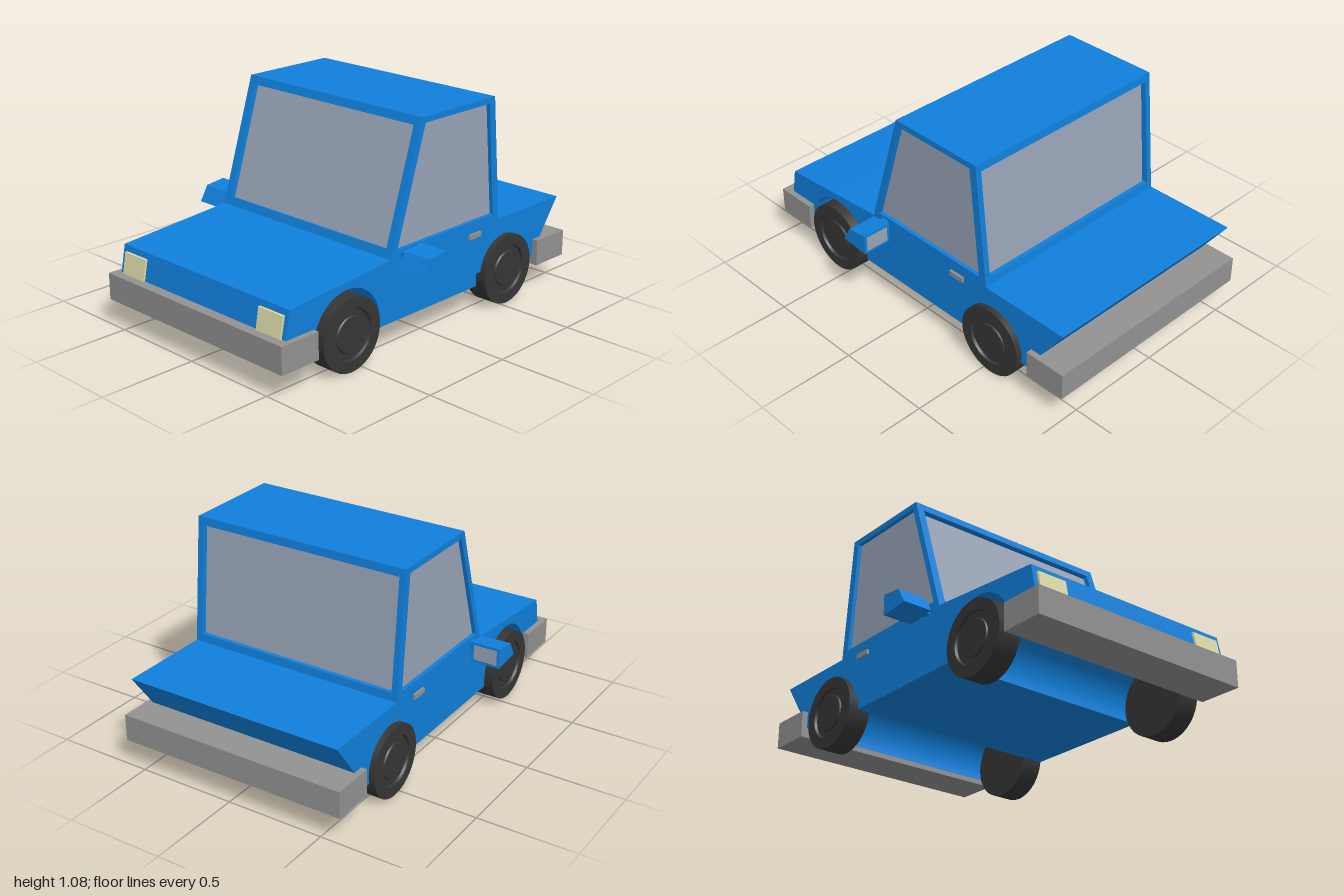
import * as THREE from 'three';
import { toCreasedNormals } from 'three/addons/utils/BufferGeometryUtils.js';

const mat = (color) => new THREE.MeshStandardMaterial({ color });
const points = (list) => list.map(([a, b]) => new THREE.Vector2(a, b));

// Extrudes a side profile of (z, y) points across x, centred on x = 0
function acrossX(shape, width) {
  const g = new THREE.ExtrudeGeometry(shape, { depth: width, bevelEnabled: false, curveSegments: 24 });
  return g.translate(0, 0, -width / 2).rotateY(-Math.PI / 2);
}

export function createModel() {
  const car = new THREE.Group();
  car.name = 'car';
  const paint = mat(0x1080dc), glass = mat(0x99a4b6), rubber = mat(0x363636);
  const trim = mat(0x929292), lamp = mat(0xdedca8);

  const add = (name, geometry, material, x = 0, y = 0, z = 0, parent = car) => {
    const m = new THREE.Mesh(geometry, material);
    m.name = name;
    m.position.set(x, y, z);
    parent.add(m);
    return m;
  };

  // Lower body with wheel arches cut right across
  const axles = [-0.54, 0.57];
  const dip = Math.asin(0.04 / 0.21);
  const lower = new THREE.Shape();
  lower.moveTo(-0.97, 0.14);
  axles.forEach((z) => lower.absarc(z, 0.18, 0.21, Math.PI + dip, -dip, true));
  [[0.97, 0.14], [0.947, 0.265], [0.92, 0.4], [0.29, 0.45], [-0.97, 0.45]].forEach((p) => lower.lineTo(...p));
  lower.closePath();
  add('body', toCreasedNormals(acrossX(lower, 1.14), 0.5), paint);

  // Window glass: a tapered block just inside the cab frames
  const pane = new THREE.Shape(points([[-0.46, 0.44], [0.262, 0.44], [0.07, 1.055], [-0.405, 1.055]]));
  add('windows', acrossX(pane, 1.1), glass);

  // Cab side frames
  const side = new THREE.Shape(points([[-0.49, 0.45], [0.29, 0.45], [0.09, 1.08], [-0.43, 1.08]]));
  side.holes.push(new THREE.Path(points([[-0.445, 0.485], [-0.392, 1.05], [0.066, 1.05], [0.246, 0.485]])));
  for (const s of [-1, 1]) add('sideFrame', acrossX(side, 0.03), paint, s * 0.555);

  // Roof
  const roof = new THREE.Shape(points([[-0.433, 1.05], [0.0995, 1.05], [0.09, 1.08], [-0.43, 1.08]]));
  add('roof', acrossX(roof, 1.14), paint);

  // Leaning frames of the windscreen and rear window
  const endFrame = (name, zBottom, lean, halfOpening, turn) => {
    const len = Math.hypot(lean, 0.63), k = len / 0.63, w = halfOpening;
    const shape = new THREE.Shape(points([[-0.57, 0], [0.57, 0], [0.57, len], [-0.57, len]]));
    shape.holes.push(new THREE.Path(points([[-w, 0.04 * k], [-w, 0.59 * k], [w, 0.59 * k], [w, 0.04 * k]])));
    const g = new THREE.ExtrudeGeometry(shape, { depth: 0.025, bevelEnabled: false });
    g.translate(0, 0, -0.025).rotateX(-Math.atan2(lean, 0.63)).translate(0, 0.45, zBottom);
    add(name, g, paint).rotation.y = turn;
  };
  endFrame('windscreenFrame', 0.29, 0.2, 0.53, 0);
  endFrame('rearWindowFrame', 0.49, 0.06, 0.545, Math.PI);

  // Bumpers
  for (const s of [-1, 1]) add('bumper', new THREE.BoxGeometry(1.2, 0.135, 0.22), trim, 0, 0.1975, s * 0.89);

  // Wheels: ringed outer face, flat inner face
  const tyre = new THREE.LatheGeometry(points([
    [0, -0.0575], [0.18, -0.0575], [0.18, 0.0575], [0.125, 0.0575], [0.12, 0.045],
    [0.09, 0.045], [0.085, 0.052], [0, 0.052],
  ]), 40);
  const wheelGeo = toCreasedNormals(tyre, 0.4).rotateZ(-Math.PI / 2);
  for (const z of axles) for (const s of [-1, 1]) {
    add('wheel', wheelGeo, rubber, s * 0.5425, 0.18, z).rotation.y = s > 0 ? 0 : Math.PI;
  }

  // Headlights, door handles and wing mirrors on both sides
  const lampShape = new THREE.Shape(points([[0.9, 0.262], [0.957, 0.262], [0.938, 0.37], [0.9, 0.37]]));
  const mirrorShape = new THREE.Shape(points([[0.13, 0.4], [0.285, 0.412], [0.24, 0.49], [0.13, 0.503]]));
  for (const s of [-1, 1]) {
    add('headlight', acrossX(lampShape, 0.155), lamp, s * 0.468);
    add('doorHandle', new THREE.BoxGeometry(0.025, 0.025, 0.085), trim, s * 0.57, 0.413, -0.303);
    const mirror = new THREE.Group();
    mirror.name = 'wingMirror';
    car.add(mirror);
    add('mirrorHousing', acrossX(mirrorShape, 0.15), paint, s * 0.686, 0, 0, mirror);
    add('mirrorStem', new THREE.BoxGeometry(0.07, 0.04, 0.04), paint, s * 0.585, 0.45, 0.2, mirror);
    add('mirrorGlass', new THREE.BoxGeometry(0.122, 0.076, 0.008), glass, s * 0.686, 0.451, 0.132, mirror);
  }
  return car;
}
